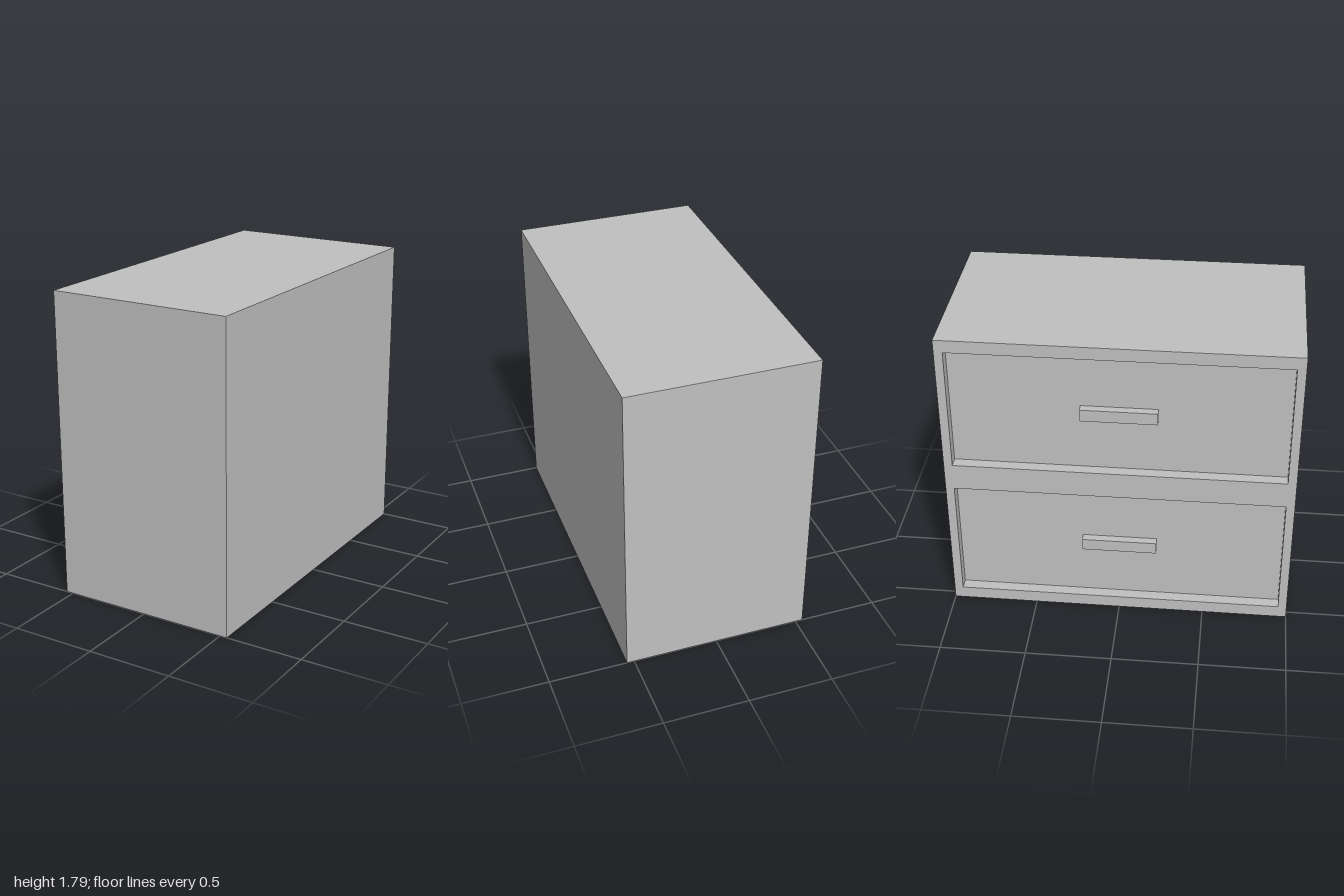
import * as THREE from 'three';

export function createModel() {
  const model = new THREE.Group();
  model.name = 'drawerCabinet';
  const grey = new THREE.MeshStandardMaterial({ color: 0xc0c0c0 });
  grey.name = 'grey';

  const HALF_X = 0.543, HEIGHT = 1.79, HALF_Z = 1, RECESS = 0.067;
  const panelX = -HALF_X + RECESS; // plane of the drawer fronts
  const OPENING_HALF = 0.95, OPENING_HEIGHT = 0.74;
  const drawerCentres = [0.445, 1.345];

  function add(name, geometry, x, y, z) {
    const mesh = new THREE.Mesh(geometry, grey);
    mesh.name = name;
    mesh.position.set(x, y, z);
    model.add(mesh);
  }

  // Cabinet body, whose -x face forms the drawer fronts
  add('cabinetBody', new THREE.BoxGeometry(HALF_X - panelX, HEIGHT, 2 * HALF_Z),
    (HALF_X + panelX) / 2, HEIGHT / 2, 0);

  // Raised frame with one opening per drawer
  const rectangle = (path, halfWidth, bottom, top) => path
    .moveTo(-halfWidth, bottom).lineTo(halfWidth, bottom)
    .lineTo(halfWidth, top).lineTo(-halfWidth, top).closePath();
  const frame = new THREE.Shape();
  rectangle(frame, HALF_Z, 0, HEIGHT);
  for (const y of drawerCentres) {
    const hole = new THREE.Path();
    rectangle(hole, OPENING_HALF, y - OPENING_HEIGHT / 2, y + OPENING_HEIGHT / 2);
    frame.holes.push(hole);
  }
  const frameGeometry = new THREE.ExtrudeGeometry(frame, { depth: RECESS, bevelEnabled: false });
  frameGeometry.rotateY(-Math.PI / 2);
  add('drawerFrame', frameGeometry, panelX, 0, 0);

  // Bar handles, kept within the recess
  const HANDLE_DEPTH = 0.048;
  drawerCentres.forEach((y, i) => {
    add(i ? 'upperHandle' : 'lowerHandle', new THREE.BoxGeometry(HANDLE_DEPTH, 0.072, 0.434),
      panelX - HANDLE_DEPTH / 2, y, 0);
  });

  return model;
}
